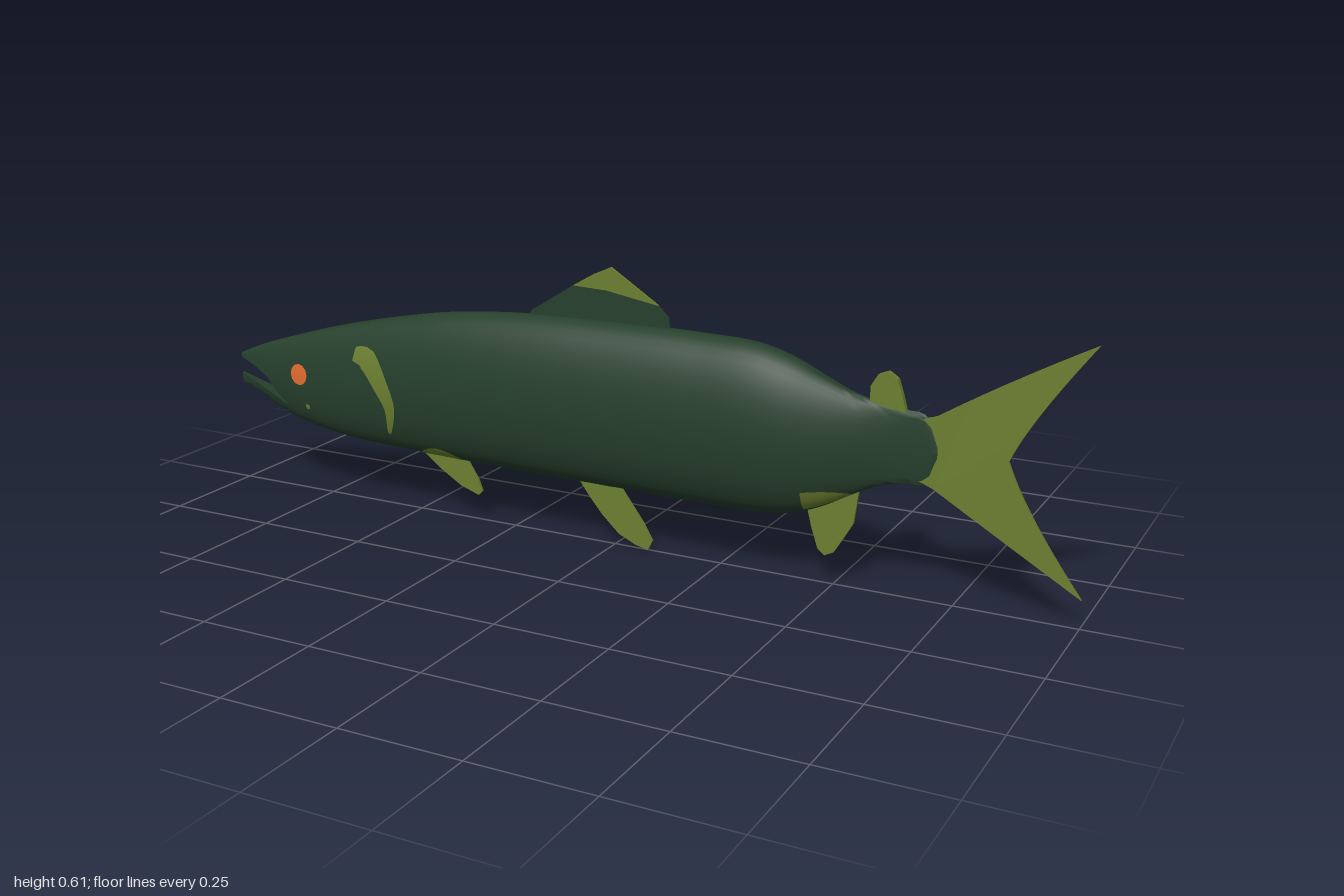
import * as THREE from 'three';
import { toCreasedNormals } from 'three/addons/utils/BufferGeometryUtils.js';

const mat = (name, color, side = THREE.FrontSide) => {
  const m = new THREE.MeshStandardMaterial({ color, side });
  m.name = name;
  return m;
};

// Body stations: x, top, bottom, half width
const STATIONS = [
  [-1, 0.312, 0.24, 0.004], [-0.95, 0.334, 0.22, 0.013], [-0.85, 0.368, 0.178, 0.032],
  [-0.7, 0.412, 0.15, 0.049], [-0.55, 0.447, 0.142, 0.06], [-0.4, 0.474, 0.138, 0.07],
  [-0.2, 0.491, 0.135, 0.078], [0, 0.495, 0.134, 0.08], [0.2, 0.494, 0.132, 0.08],
  [0.33, 0.487, 0.133, 0.078], [0.4, 0.468, 0.14, 0.07], [0.47, 0.437, 0.165, 0.053],
  [0.53, 0.412, 0.198, 0.034], [0.59, 0.398, 0.228, 0.015], [0.64, 0.39, 0.24, 0.007],
  [0.68, 0.383, 0.242, 0.0055], [0.695, 0.362, 0.26, 0.005], [0.705, 0.325, 0.298, 0.0045],
];
const spline = new THREE.CubicInterpolant(
  STATIONS.map(s => s[0]), STATIONS.flatMap(s => s.slice(1)), 3, new Float32Array(3));
const section = x => {
  const [top, bottom, w] = spline.evaluate(x);
  return { top, bottom, c: (top + bottom) / 2, h: (top - bottom) / 2, w };
};

// Piecewise linear lookup
const lerpTable = (table, x) => {
  let i = 0;
  while (i < table.length - 2 && x > table[i + 1][0]) i++;
  const [x0, y0] = table[i], [x1, y1] = table[i + 1];
  return y0 + (y1 - y0) * THREE.MathUtils.clamp((x - x0) / (x1 - x0), 0, 1);
};

// Loft elliptical sections from x0 to x1, each optionally cut flat at low(x) and high(x)
function loft(x0, x1, steps, low, high) {
  const pos = [], idx = [], n = 20, ring = 2 * (n + 1);
  for (let j = 0; j <= steps; j++) {
    const x = x0 + (x1 - x0) * j / steps, { c, h, w } = section(x);
    const angle = y => Math.acos(THREE.MathUtils.clamp((y - c) / h, -1, 1));
    const a0 = high ? angle(high(x)) : 0, a1 = low ? angle(low(x)) : Math.PI;
    for (let k = 0; k < ring; k++) {
      const i = k <= n ? k : ring - 1 - k, a = a0 + (a1 - a0) * i / n;
      pos.push(x, c + h * Math.cos(a), (k <= n ? 1 : -1) * w * Math.sin(a));
    }
  }
  for (let j = 0; j < steps; j++) for (let k = 0; k < ring; k++) {
    const a = j * ring + k, b = j * ring + (k + 1) % ring;
    idx.push(a, b, b + ring, a, b + ring, a + ring);
  }
  const e = steps * ring;
  for (let k = 1; k < ring - 1; k++) idx.push(0, k + 1, k, e, e + k, e + k + 1);
  const g = new THREE.BufferGeometry();
  g.setAttribute('position', new THREE.Float32BufferAttribute(pos, 3));
  g.setIndex(idx);
  return toCreasedNormals(g, 0.8);
}

// Thin painted skin laid on one flank; f(u, v) gives [x, y]
function skin(f, side, nu = 16, nv = 6) {
  const pos = [], idx = [];
  for (let i = 0; i <= nu; i++) for (let j = 0; j <= nv; j++) {
    const [x, y] = f(i / nu, j / nv), { c, h, w } = section(x);
    const t = THREE.MathUtils.clamp((y - c) / h, -1, 1);
    pos.push(x, c + h * t, side * (w * Math.sqrt(1 - t * t) + 0.002));
    if (i < nu && j < nv) {
      const a = i * (nv + 1) + j, b = a + nv + 1;
      if (side > 0) idx.push(a, b, b + 1, a, b + 1, a + 1);
      else idx.push(a, b + 1, b, a, a + 1, b + 1);
    }
  }
  const g = new THREE.BufferGeometry();
  g.setAttribute('position', new THREE.Float32BufferAttribute(pos, 3));
  g.setIndex(idx);
  g.computeVertexNormals();
  return g;
}

// Flat fin centred on z = 0
function plate(points, thickness = 0.006) {
  const shape = new THREE.Shape(points.map(p => new THREE.Vector2(...p)));
  return new THREE.ExtrudeGeometry(shape, { depth: thickness, bevelEnabled: false })
    .translate(0, 0, -thickness / 2);
}

export function createModel() {
  const fish = new THREE.Group();
  fish.name = 'fish';
  const skinGreen = mat('dark green skin', 0x263f2c);
  const olive = mat('olive fin', 0x6c7f31, THREE.DoubleSide);
  const orange = mat('orange eye', 0xe26b30, THREE.DoubleSide);
  const add = (name, geometry, material) => {
    const m = new THREE.Mesh(geometry, material);
    m.name = name;
    fish.add(m);
  };

  // Body and the two jaws around an open mouth
  const mouthTop = x => lerpTable([[-1, 0.302], [-0.95, 0.285], [-0.91, 0.265], [-0.885, 0.235], [-0.85, 0.209]], x);
  const mouthLow = x => lerpTable([[-1, 0.264], [-0.92, 0.235], [-0.85, 0.208]], x);
  add('body', loft(-0.85, 0.705, 110), skinGreen);
  add('upperJaw', loft(-1, -0.85, 18, mouthTop, null), skinGreen);
  add('lowerJaw', loft(-1, -0.85, 18, null, mouthLow), skinGreen);

  // Forked tail with curved edges
  const tail = new THREE.Shape();
  tail.moveTo(0.67, 0.375);
  tail.lineTo(0.7, 0.385);
  tail.quadraticCurveTo(0.84, 0.475, 1, 0.56);
  tail.quadraticCurveTo(0.88, 0.4, 0.845, 0.315);
  tail.quadraticCurveTo(0.88, 0.22, 1, 0.062);
  tail.quadraticCurveTo(0.84, 0.155, 0.7, 0.238);
  tail.lineTo(0.67, 0.25);
  add('tailFin', new THREE.ExtrudeGeometry(tail, { depth: 0.006, bevelEnabled: false, curveSegments: 12 })
    .translate(0, 0, -0.003), olive);

  // Dorsal fin: dark base, olive tip
  add('dorsalFinBase', plate([[-0.21, 0.48], [0.13, 0.48], [0.125, 0.515], [0.1, 0.54], [0.04, 0.55],
    [-0.02, 0.56], [-0.1, 0.563], [-0.16, 0.525], [-0.2, 0.5]]), skinGreen);
  add('dorsalFinTip', plate([[-0.1, 0.563], [-0.02, 0.56], [0.04, 0.55], [0.1, 0.54], [0.05, 0.572],
    [-0.01, 0.61], [-0.05, 0.592]]), olive);

  // Small rear back fin
  add('adiposeFin', plate([[0.565, 0.395], [0.64, 0.385], [0.63, 0.42], [0.62, 0.45], [0.6, 0.463],
    [0.58, 0.455], [0.565, 0.43]], 0.012), olive);

  // Lower fins
  add('pectoralFin', plate([[-0.5, 0.15], [-0.44, 0.105], [-0.39, 0.075], [-0.345, 0.06], [-0.335, 0.07],
    [-0.345, 0.095], [-0.38, 0.15]]), olive);
  add('pelvicFin', plate([[-0.09, 0.14], [-0.06, 0.1], [-0.03, 0.065], [0.01, 0.028], [0.05, 0.01],
    [0.08, 0.003], [0.09, 0.025], [0.07, 0.06], [0.04, 0.1], [0.01, 0.14]]), olive);
  add('analFin', plate([[0.44, 0.16], [0.45, 0.12], [0.465, 0.075], [0.48, 0.062], [0.5, 0.072],
    [0.52, 0.105], [0.54, 0.14], [0.55, 0.215], [0.46, 0.2]]), olive);

  // Painted details on both flanks
  const gill = new THREE.SplineCurve([[-0.64, 0.36], [-0.6, 0.352], [-0.56, 0.295], [-0.54, 0.245], [-0.552, 0.185]]
    .map(p => new THREE.Vector2(...p)));
  const gillMark = (u, v) => {
    const p = gill.getPoint(u), t = gill.getTangent(u);
    const half = lerpTable([[0, 0.015], [0.25, 0.027], [0.7, 0.016], [1, 0.004]], u);
    const o = (v - 0.5) * 2 * half;
    return [p.x - t.y * o, p.y + t.x * o];
  };
  const disc = (cx, cy, r) => (u, v) =>
    [cx + r * (1 - v) * Math.cos(u * 2 * Math.PI), cy - r * (1 - v) * Math.sin(u * 2 * Math.PI)];
  const finBase = (x0, x1, top, arch) => (u, v) => {
    const x = x0 + (x1 - x0) * u, low = section(x).bottom;
    const high = Math.max(low, top - arch * (2 * u - 1) ** 2);
    return [x, low + (high - low) * v];
  };
  for (const [label, side] of [['left', 1], ['right', -1]]) {
    add(label + 'Eye', skin(disc(-0.805, 0.29, 0.025), side, 12, 3), orange);
    add(label + 'GillMark', skin(gillMark, side), olive);
    add(label + 'CheekSpot', skin(disc(-0.785, 0.215, 0.007), side, 8, 2), olive);
    add(label + 'PectoralBase', skin(finBase(-0.49, -0.37, 0.166, 0.025), side), olive);
    add(label + 'PelvicBase', skin(finBase(-0.04, 0.01, 0.142, 0.006), side), olive);
    add(label + 'AnalBase', skin(finBase(0.44, 0.55, 0.208, 0.006), side), olive);
  }
  return fish;
}
